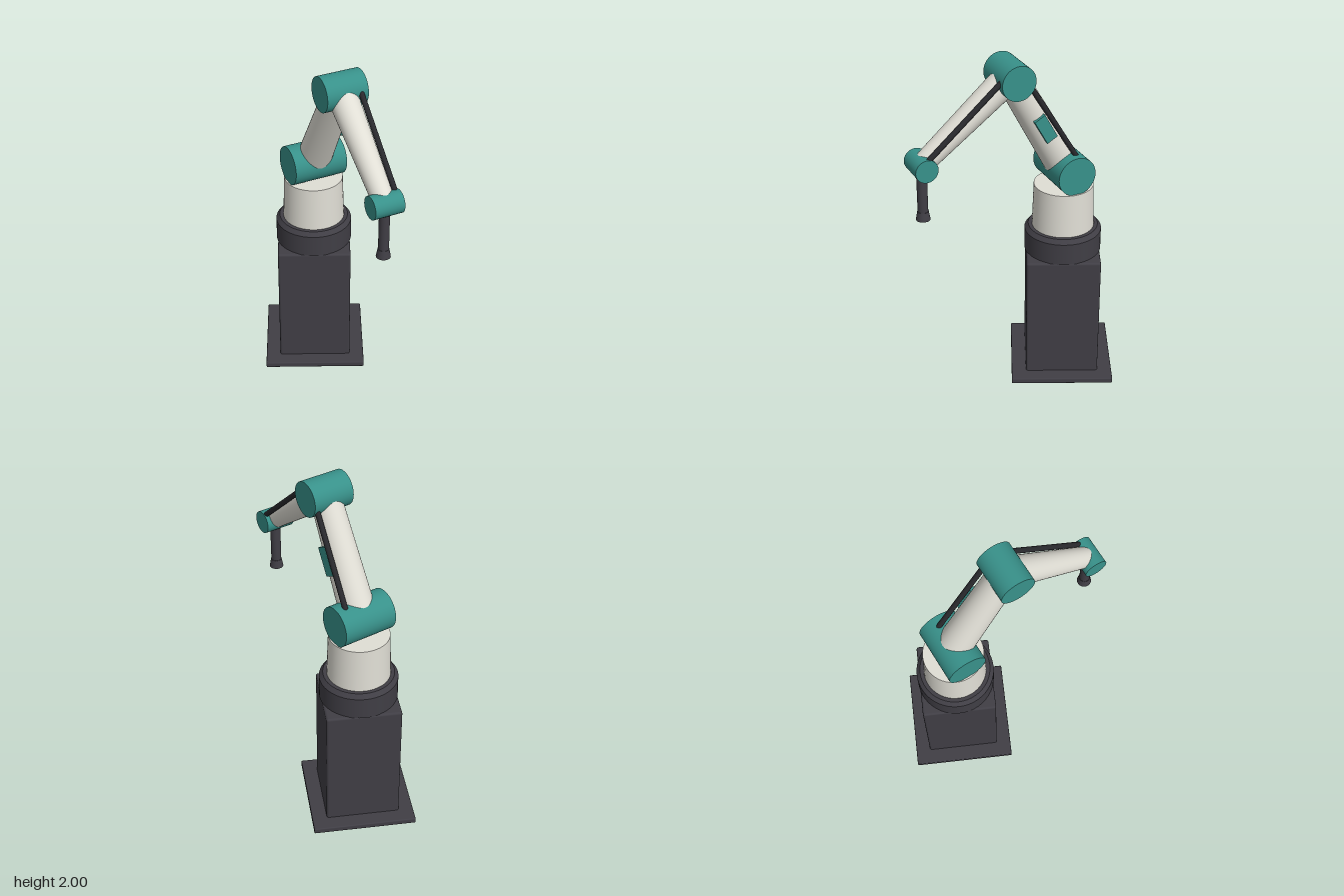
import * as THREE from 'three';
import { RoundedBoxGeometry } from 'three/addons/geometries/RoundedBoxGeometry.js';

const paint = (name, color) => {
  const m = new THREE.MeshStandardMaterial({ color });
  m.name = name;
  return m;
};

export function createModel() {
  const graphite = paint('graphite', 0x403e45);
  const ivory = paint('ivory', 0xe0ded5);
  const teal = paint('teal', 0x38918a);
  const rubber = paint('black rubber', 0x29292d);

  const model = new THREE.Group();
  model.name = 'robotArm';
  const base = new THREE.Group();
  base.name = 'base';
  base.position.set(-0.085, 0, -0.29);
  model.add(base);

  const add = (parent, name, geometry, material, x = 0, y = 0, z = 0) => {
    const mesh = new THREE.Mesh(geometry, material);
    mesh.name = name;
    mesh.position.set(x, y, z);
    parent.add(mesh);
    return mesh;
  };

  // Floor plate, pedestal and chamfered collar
  add(base, 'floorPlate', new RoundedBoxGeometry(0.595, 0.034, 0.595, 2, 0.007), graphite, 0, 0.017, 0);
  add(base, 'pedestal', new RoundedBoxGeometry(0.425, 0.755, 0.425, 2, 0.013), graphite, 0, 0.4, 0);
  add(base, 'collar', new THREE.CylinderGeometry(0.221, 0.221, 0.13, 48), graphite, 0, 0.84, 0);
  add(base, 'collarChamfer', new THREE.CylinderGeometry(0.2, 0.221, 0.025, 48), graphite, 0, 0.9175, 0);

  // Everything above the collar swivels together; the arm reaches along local +z
  const swivel = new THREE.Group();
  swivel.name = 'swivel';
  swivel.rotation.y = THREE.MathUtils.degToRad(25);
  base.add(swivel);
  add(swivel, 'turret', new THREE.CylinderGeometry(0.17, 0.179, 0.265, 48), ivory, 0, 1.0575, 0);

  const shoulder = new THREE.Vector3(0, 1.297, 0);
  const elbow = new THREE.Vector3(0, 1.9, 0.338);
  const wrist = new THREE.Vector3(0, 1.485, 0.859);

  // Joint drums lie across the arm
  const joint = (name, p, radius, width) =>
    add(swivel, name, new THREE.CylinderGeometry(radius, radius, width, 48).rotateZ(Math.PI / 2), teal, p.x, p.y, p.z);
  joint('shoulderJoint', shoulder, 0.114, 0.32);
  joint('elbowJoint', elbow, 0.099, 0.24);
  joint('wristJoint', wrist, 0.065, 0.171);

  // Tapered links run from joint to joint
  const link = (name, a, b, ra, rb, material, sides = 40) => {
    const dir = b.clone().sub(a);
    const mid = a.clone().add(b).multiplyScalar(0.5);
    const mesh = add(swivel, name, new THREE.CylinderGeometry(rb, ra, dir.length(), sides), material, mid.x, mid.y, mid.z);
    mesh.quaternion.setFromUnitVectors(new THREE.Vector3(0, 1, 0), dir.normalize());
    return mesh;
  };
  const upperArm = link('upperArm', shoulder, elbow, 0.1, 0.083, ivory);
  link('forearm', elbow, wrist, 0.083, 0.058, ivory);

  // Service cover on the left flank of the upper arm
  add(upperArm, 'serviceCover', new THREE.BoxGeometry(0.035, 0.16, 0.07), teal, 0.088, 0, 0);

  // Cables along the left of both links
  const v = (x, y, z) => new THREE.Vector3(x, y, z);
  link('upperCable', v(0.104, 1.385, -0.028), v(0.094, 1.98, 0.332), 0.015, 0.015, rubber, 12);
  link('forearmCable', v(0.083, 1.986, 0.338), v(0.067, 1.525, 0.857), 0.015, 0.015, rubber, 12);

  // Tool hanging from the wrist
  add(swivel, 'toolShaft', new THREE.CylinderGeometry(0.029, 0.029, 0.28, 24), graphite, 0, 1.345, wrist.z);
  add(swivel, 'toolTip', new THREE.CylinderGeometry(0.031, 0.04, 0.05, 24), graphite, 0, 1.185, wrist.z);

  return model;
}
